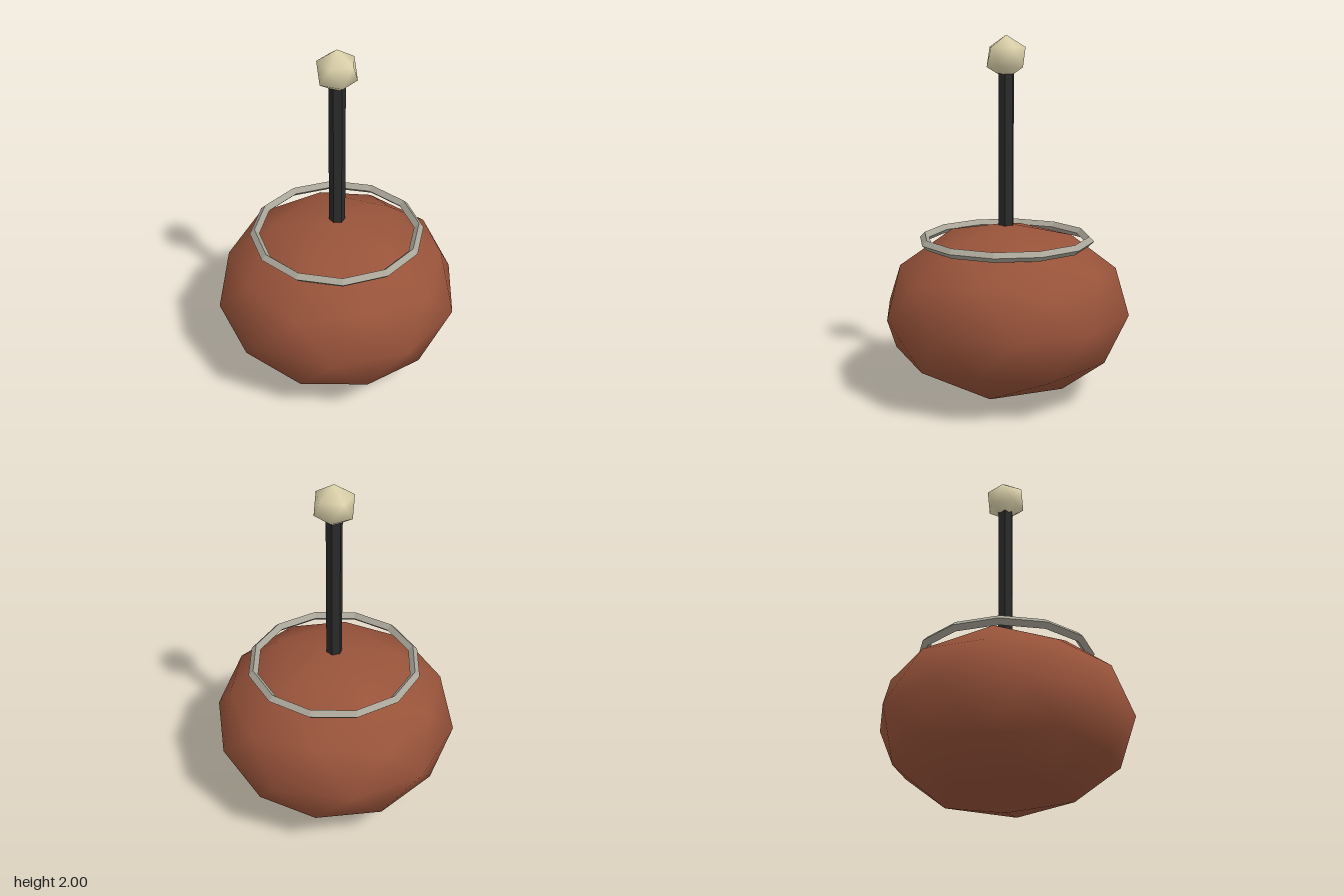
import * as THREE from 'three';

const clay = new THREE.MeshStandardMaterial({ color: 0x98533a });
clay.name = 'clay';
const iron = new THREE.MeshStandardMaterial({ color: 0x2b2b2b, flatShading: true });
iron.name = 'blackIron';
const steel = new THREE.MeshStandardMaterial({ color: 0xa9a598, flatShading: true });
steel.name = 'paleSteel';
const ivory = new THREE.MeshStandardMaterial({ color: 0xe0d5ae });
ivory.name = 'ivory';

// Smooth icosphere with a vertex at each pole and an upper-ring vertex on +x
function icosphere(detail, rx, ry) {
  const geo = new THREE.IcosahedronGeometry(1, detail);
  geo.rotateZ(-Math.atan(2 / (1 + Math.sqrt(5))));
  geo.setAttribute('normal', geo.attributes.position.clone());
  return geo.scale(rx, ry, rx);
}

export function createModel() {
  const model = new THREE.Group();
  model.name = 'model';

  function add(name, geometry, material, y) {
    const mesh = new THREE.Mesh(geometry, material);
    mesh.name = name;
    mesh.position.y = y;
    model.add(mesh);
  }

  // Squashed round body
  add('body', icosphere(1, 0.693, 0.485), clay, 0.487);

  // Thin collar ring with a diamond section
  add('collarRing', new THREE.TorusGeometry(0.462, 0.027, 4, 12).rotateX(-Math.PI / 2), steel, 0.88);

  // Hexagonal stem, sunk into the body and the knob
  add('stem', new THREE.CylinderGeometry(0.045, 0.045, 1.0, 6), iron, 1.32);

  // Knob on top of the stem
  add('knob', icosphere(0, 0.118, 0.118), ivory, 1.882);

  return model;
}
